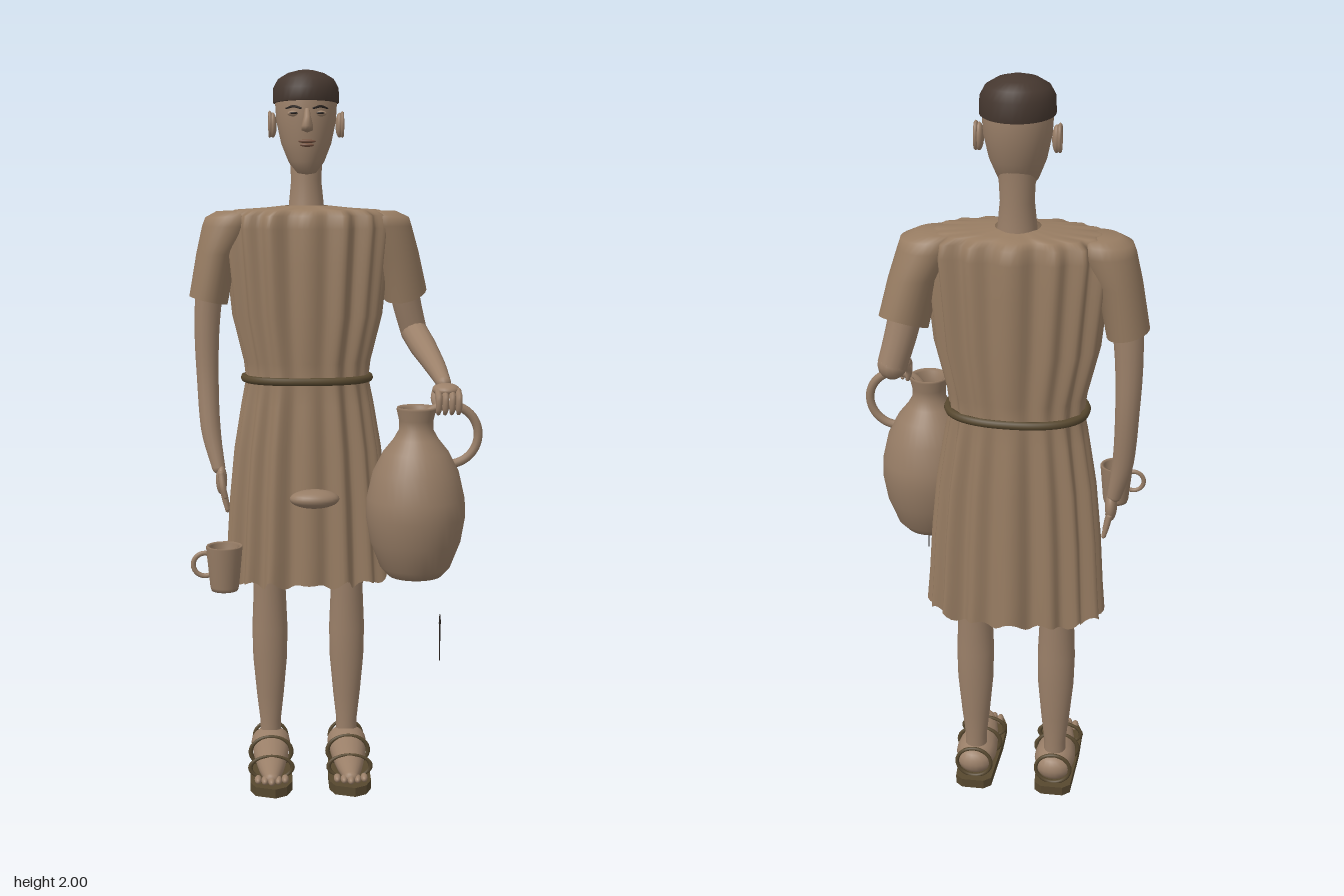
import * as THREE from 'three';
import { mergeGeometries } from 'three/addons/utils/BufferGeometryUtils.js';

const mat = (name, color, double) => {
  const m = new THREE.MeshStandardMaterial({ color });
  m.name = name;
  if (double) m.side = THREE.DoubleSide;
  return m;
};
const V = (x, y, z) => new THREE.Vector3(x, y, z);
const CX = -0.07, CZ = -0.215; // body axis

// Skin through rings of equal point count, listed from bottom to top
function loft(rings) {
  const n = rings[0].length, pos = [], idx = [];
  rings.forEach((r) => r.forEach((p) => pos.push(p.x, p.y, p.z)));
  for (let i = 0; i < rings.length - 1; i++)
    for (let j = 0; j < n; j++) {
      const a = i * n + j, b = i * n + (j + 1) % n;
      idx.push(a, a + n, b, b, a + n, b + n);
    }
  const g = new THREE.BufferGeometry();
  g.setAttribute('position', new THREE.Float32BufferAttribute(pos, 3));
  g.setIndex(idx);
  g.computeVertexNormals();
  return g;
}
const ring = (n, f) => Array.from({ length: n }, (_, j) => f((j / n) * Math.PI * 2));

// Rows of [y, centre x, radius x, centre z, radius z, tilt x, tilt z]
const ovals = (rows, n = 28) => loft(rows.map(([y, cx, rx, cz, rz, tx = 0, tz = 0]) =>
  ring(n, (t) => V(cx + rx * Math.cos(t), y + tx * Math.cos(t) + tz * Math.sin(t), cz + rz * Math.sin(t)))));

// Rounded limb through points [x, y, z, radius]
function limb(pts, sides = 14, seg = 20) {
  const curve = new THREE.CatmullRomCurve3(pts.map((p) => V(p[0], p[1], p[2])));
  const g = new THREE.TubeGeometry(curve, seg, 1, sides);
  const pos = g.attributes.position, v = V(0, 0, 0);
  for (let i = 0; i <= seg; i++) {
    const c = curve.getPointAt(i / seg);
    const s = curve.getUtoTmapping(i / seg) * (pts.length - 1);
    const k = Math.min(Math.floor(s), pts.length - 2);
    const r = THREE.MathUtils.lerp(pts[k][3], pts[k + 1][3], s - k);
    for (let j = 0; j <= sides; j++) {
      const q = i * (sides + 1) + j;
      v.fromBufferAttribute(pos, q).sub(c).multiplyScalar(r).add(c);
      pos.setXYZ(q, v.x, v.y, v.z);
    }
  }
  const ends = [pts[0], pts[pts.length - 1]].map((p) =>
    new THREE.SphereGeometry(p[3], sides, 8).translate(p[0], p[1], p[2]));
  return mergeGeometries([g, ...ends]);
}
const blob = (x, y, z, rx, ry, rz) => new THREE.SphereGeometry(1, 24, 16).scale(rx, ry, rz).translate(x, y, z);
const lathe = (pts, n = 36) => new THREE.LatheGeometry(pts.map((p) => new THREE.Vector2(p[0], p[1])), n);

// Slightly squared oval used by the tunic and belt
const squarish = (c) => Math.sign(c) * Math.pow(Math.abs(c), 0.85);
const section = (y, hw, hd, t) => V(CX + hw * squarish(Math.cos(t)), y, CZ + hd * squarish(Math.sin(t)));

export function createModel() {
  const root = new THREE.Group();
  const skin = mat('skin', 0x9b8069), cloth = mat('tunicCloth', 0x977c62, true);
  const clay = mat('clay', 0x967c65, true), hairMat = mat('hair', 0x45372f);
  const leather = mat('leather', 0x57482f), water = mat('water', 0x5b7273);
  const dark = mat('darkDetail', 0x2b2420), lipMat = mat('lips', 0x74513f);
  const add = (parent, name, geo, m) => {
    const mesh = new THREE.Mesh(geo, m);
    mesh.name = name;
    parent.add(mesh);
    return mesh;
  };
  const group = (name) => {
    const g = new THREE.Group();
    g.name = name;
    root.add(g);
    return g;
  };

  // Pleated tunic: [y, half width, half depth, pleat depth]
  const tunic = group('tunic');
  const rows = [[0.56, 0.228, 0.124, 0.012], [0.66, 0.222, 0.124, 0.011], [0.8, 0.214, 0.122, 0.01],
    [0.95, 0.2, 0.119, 0.009], [1.08, 0.18, 0.114, 0.007], [1.15, 0.169, 0.11, 0.004],
    [1.2, 0.174, 0.113, 0.005], [1.33, 0.203, 0.121, 0.008], [1.48, 0.217, 0.122, 0.009],
    [1.57, 0.225, 0.122, 0.01], [1.605, 0.22, 0.118, 0.009], [1.62, 0.195, 0.104, 0.006],
    [1.625, 0.12, 0.08, 0.002], [1.632, 0.056, 0.052, 0]];
  add(tunic, 'pleatedBody', loft(rows.map(([y, hw, hd, amp], i) => ring(144, (t) => {
    const k = amp * (Math.cos(16 * t) + 0.4 * Math.cos(9 * t + 1));
    const p = section(y, hw + k, hd + k, t);
    if (i === 0) p.y += 0.012 + 0.008 * Math.cos(16 * t) + 0.006 * Math.sin(23 * t);
    return p;
  }))), cloth);
  add(tunic, 'rightSleeve', ovals([[1.37, -0.345, 0.053, -0.215, 0.07, -0.012],
    [1.5, -0.32, 0.057, -0.215, 0.077], [1.575, -0.285, 0.075, -0.215, 0.08],
    [1.603, -0.275, 0.076, -0.215, 0.074, 0.004], [1.616, -0.26, 0.06, -0.215, 0.055], [1.618, -0.25, 0, -0.215, 0]]), cloth);
  add(tunic, 'leftSleeve', ovals([[1.385, 0.21, 0.061, -0.257, 0.07, 0.014, -0.022],
    [1.5, 0.183, 0.064, -0.243, 0.075, 0, -0.008], [1.575, 0.15, 0.075, -0.23, 0.08],
    [1.603, 0.14, 0.077, -0.228, 0.075, -0.004], [1.616, 0.12, 0.06, -0.225, 0.055], [1.618, 0.11, 0, -0.225, 0]]), cloth);
  const beltPath = new THREE.CatmullRomCurve3(ring(40, (t) => section(1.152, 0.176, 0.117, t)), true);
  add(root, 'belt', new THREE.TubeGeometry(beltPath, 80, 0.011, 8, true), leather);

  // Head
  const head = group('head');
  add(head, 'neck', ovals([[1.6, CX, 0.052, -0.228, 0.05], [1.64, CX, 0.048, -0.23, 0.046],
    [1.7, CX, 0.042, -0.232, 0.042], [1.78, CX, 0.046, -0.235, 0.046]]), skin);
  add(head, 'skull', ovals([[1.714, CX, 0, -0.2, 0], [1.72, CX, 0.026, -0.205, 0.03], [1.75, CX, 0.049, -0.212, 0.053],
    [1.8, CX, 0.069, -0.22, 0.073], [1.86, CX, 0.082, -0.225, 0.083], [1.92, CX, 0.086, -0.227, 0.087],
    [1.96, CX, 0.075, -0.227, 0.077], [1.985, CX, 0, -0.227, 0]], 32), skin);
  add(head, 'hair', ovals([[1.908, CX, 0.086, -0.227, 0.086, 0, 0.006], [1.91, CX, 0.091, -0.227, 0.094, 0, 0.006],
    [1.95, CX, 0.09, -0.227, 0.093], [1.974, CX, 0.077, -0.227, 0.08], [1.99, CX, 0.05, -0.227, 0.053],
    [1.998, CX, 0.02, -0.227, 0.02], [2, CX, 0, -0.227, 0]], 32), hairMat);
  add(head, 'nose', ovals([[1.828, CX, 0, -0.14, 0], [1.834, CX, 0.016, -0.138, 0.016], [1.845, CX, 0.016, -0.13, 0.026],
    [1.87, CX, 0.01, -0.138, 0.017], [1.892, CX, 0.007, -0.146, 0.008], [1.897, CX, 0, -0.146, 0]], 10), skin);
  add(head, 'upperLip', blob(CX, 1.805, -0.148, 0.024, 0.005, 0.008), lipMat);
  add(head, 'lowerLip', blob(CX, 1.795, -0.149, 0.019, 0.005, 0.008), lipMat);
  for (const s of [-1, 1]) {
    add(head, 'ear', blob(CX + s * 0.092, 1.85, -0.225, 0.011, 0.034, 0.018).rotateZ(0), skin);
    add(head, 'earRim', new THREE.TorusGeometry(0.018, 0.005, 6, 16).rotateY(Math.PI / 2).scale(1, 1.6, 1)
      .translate(CX + s * 0.1, 1.852, -0.225), skin);
    add(head, 'eyelid', blob(CX + s * 0.036, 1.879, -0.152, 0.017, 0.008, 0.008), skin);
    add(head, 'eye', blob(CX + s * 0.036, 1.88, -0.148, 0.012, 0.0035, 0.006), dark);
    add(head, 'eyebrow', limb([[CX + s * 0.018, 1.893, -0.141, 0.003], [CX + s * 0.036, 1.898, -0.146, 0.004],
      [CX + s * 0.056, 1.893, -0.158, 0.002]], 6, 8), dark);
  }

  // Hanging right arm
  const right = group('rightArm');
  add(right, 'arm', limb([[-0.335, 1.48, -0.215, 0.042], [-0.35, 1.3, -0.22, 0.036], [-0.35, 1.15, -0.218, 0.031],
    [-0.342, 1.0, -0.2, 0.028], [-0.322, 0.9, -0.182, 0.019]]), skin);
  add(right, 'palm', blob(-0.314, 0.865, -0.176, 0.016, 0.042, 0.03), skin);
  for (let i = 0; i < 4; i++) {
    const z = -0.198 + i * 0.015, low = 0.785 - 0.008 * Math.sin((i * Math.PI) / 3);
    add(right, 'finger', limb([[-0.312, 0.845, z, 0.008], [-0.304, 0.81, z, 0.008], [-0.298, low, z, 0.006]], 8, 8), skin);
  }
  add(right, 'thumb', limb([[-0.315, 0.885, -0.155, 0.009], [-0.31, 0.85, -0.144, 0.009], [-0.303, 0.822, -0.145, 0.006]], 8, 8), skin);

  // Left arm reaching for the jug
  const left = group('leftArm');
  add(left, 'upperArm', limb([[0.19, 1.48, -0.245, 0.044], [0.215, 1.36, -0.262, 0.041], [0.238, 1.275, -0.275, 0.038]]), skin);
  add(left, 'forearm', limb([[0.238, 1.275, -0.275, 0.038], [0.255, 1.24, -0.18, 0.037], [0.278, 1.195, -0.06, 0.028],
    [0.291, 1.163, 0.015, 0.02]]), skin);
  add(left, 'palm', blob(0.294, 1.148, 0.042, 0.037, 0.018, 0.042), skin);
  for (let i = 0; i < 4; i++) {
    const x = 0.27 + i * 0.018;
    add(left, 'finger', limb([[x, 1.147, 0.06, 0.009], [x, 1.133, 0.086, 0.009], [x, 1.1, 0.086, 0.008], [x, 1.09, 0.076, 0.006]], 8, 10), skin);
  }
  add(left, 'thumb', limb([[0.27, 1.15, 0.025, 0.01], [0.262, 1.125, 0.04, 0.009], [0.268, 1.098, 0.05, 0.007]], 8, 8), skin);

  // Legs and sandals
  for (const [side, x] of [['right', -0.18], ['left', 0.043]]) {
    const leg = group(side + 'Leg');
    leg.position.x = x;
    add(leg, 'shin', ovals([[0.08, 0, 0.031, -0.215, 0.029], [0.14, 0, 0.03, -0.215, 0.028], [0.22, 0, 0.039, -0.215, 0.034],
      [0.33, 0, 0.049, -0.215, 0.042], [0.42, 0, 0.051, -0.214, 0.045], [0.54, 0, 0.046, -0.213, 0.046],
      [0.62, 0, 0.055, -0.213, 0.055], [0.9, 0, 0.075, -0.213, 0.075]]), skin);
    add(leg, 'foot', limb([[0, 0.068, -0.24, 0.04], [0, 0.073, -0.21, 0.046], [0, 0.062, -0.12, 0.039],
      [0, 0.05, -0.045, 0.028], [0, 0.042, 0, 0.017]], 18).scale(1.25, 1, 1), skin);
    for (let i = 0; i < 5; i++)
      add(leg, 'toe', blob(-0.038 + i * 0.019, 0.038, 0.012 - 0.008 * Math.abs(i - 2), 0.01, 0.011, 0.02), skin);
    const outline = [[-0.05, -0.27], [-0.03, -0.287], [0.03, -0.287], [0.05, -0.27], [0.06, -0.1], [0.058, -0.015],
      [0.042, 0.025], [0.01, 0.043], [-0.045, 0.022], [-0.06, -0.015], [-0.06, -0.1]];
    const shape = new THREE.Shape(outline.map(([a, z]) => new THREE.Vector2(a, -z)));
    add(leg, 'sole', new THREE.ExtrudeGeometry(shape, { depth: 0.026, bevelEnabled: false }).rotateX(-Math.PI / 2), leather);
    for (const [z, y, rx, ry] of [[-0.062, 0.05, 0.06, 0.034], [-0.15, 0.064, 0.059, 0.045], [-0.262, 0.07, 0.048, 0.045]])
      add(leg, 'strap', new THREE.TorusGeometry(1, 0.11, 8, 32).scale(rx, ry, 0.05).translate(0, y, z), leather);
  }

  // Water jug
  const jug = group('jug');
  jug.position.set(0.212, 0, 0.065);
  add(jug, 'jugBody', lathe([[0, 0.645], [0.072, 0.645], [0.095, 0.67], [0.122, 0.74], [0.134, 0.81], [0.132, 0.86], [0.116, 0.93],
    [0.088, 0.985], [0.06, 1.02], [0.046, 1.045], [0.046, 1.07], [0.053, 1.1], [0.051, 1.106], [0.042, 1.1], [0.037, 1.07], [0.037, 1.03]]), clay);
  add(jug, 'waterSurface', new THREE.CircleGeometry(0.038, 32).rotateX(-Math.PI / 2).translate(0, 1.065, 0), water);
  add(jug, 'jugHandle', new THREE.TorusGeometry(0.08, 0.012, 10, 40, 4.8).rotateZ(-2.0).translate(0.087, 1.03, 0), clay);

  // Drinking mug
  const mug = group('mug');
  mug.position.set(-0.3, 0, 0.25);
  add(mug, 'mugBody', lathe([[0, 0.66], [0.034, 0.66], [0.037, 0.67], [0.047, 0.775], [0.045, 0.778], [0.036, 0.775], [0.03, 0.69], [0, 0.69]]), clay);
  add(mug, 'mugHandle', new THREE.TorusGeometry(0.03, 0.0065, 8, 28).translate(-0.05, 0.728, 0), clay);

  // Loaf and needle
  add(root, 'loaf', blob(CX, 0.91, 0.31, 0.063, 0.024, 0.04), clay);
  const needle = group('needle');
  needle.position.set(0.259, 0, 0.252);
  add(needle, 'needleShaft', new THREE.CylinderGeometry(0.0018, 0.0015, 0.12, 8).translate(0, 0.522, 0), dark);
  add(needle, 'needleHead', new THREE.CylinderGeometry(0.001, 0.0032, 0.025, 8).translate(0, 0.574, 0), dark);
  return root;
}
